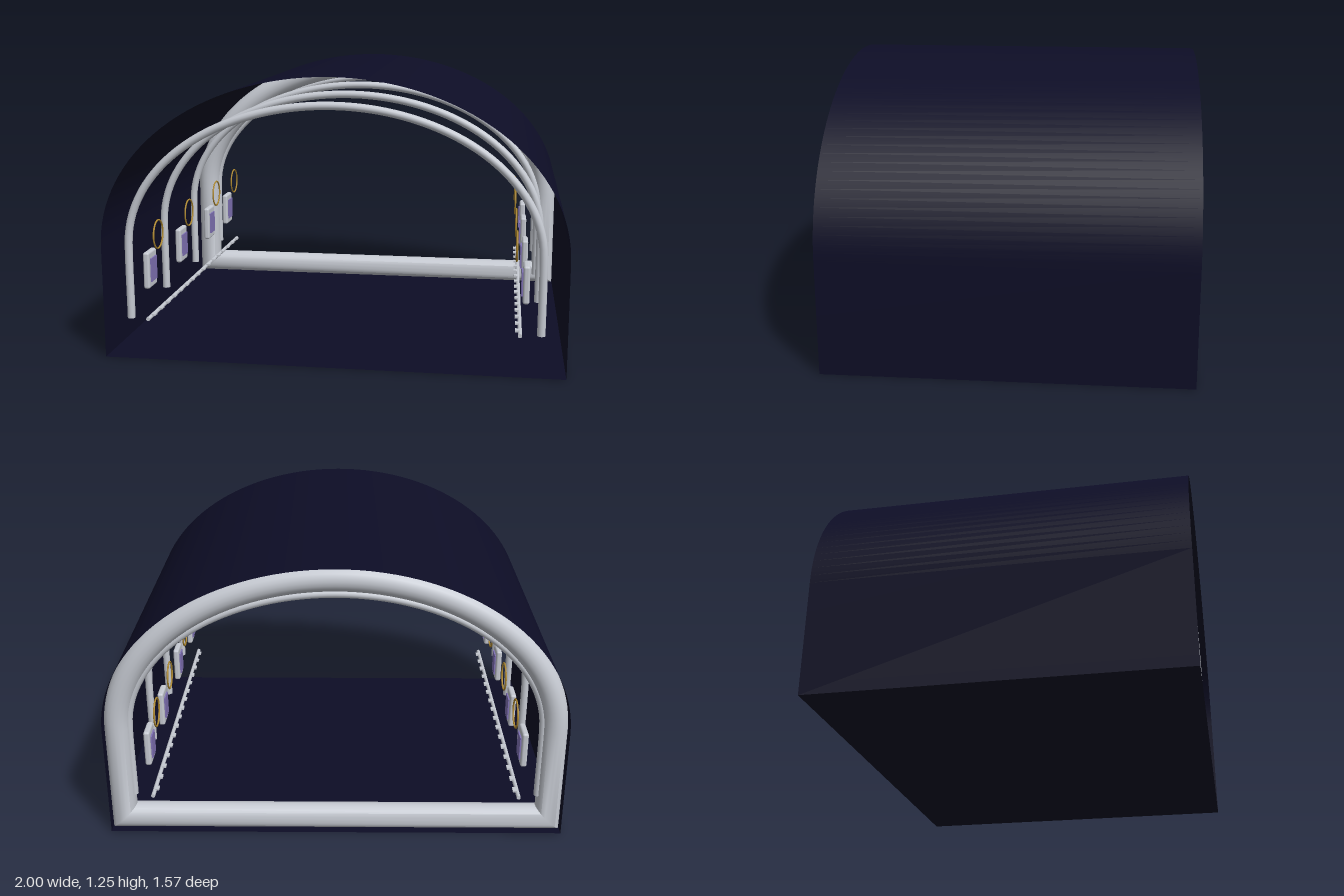
import * as THREE from 'three';
import { toCreasedNormals } from 'three/addons/utils/BufferGeometryUtils.js';
import { RoundedBoxGeometry } from 'three/addons/geometries/RoundedBoxGeometry.js';

const HALF_Z = 0.784, SPRING = 0.5;

const material = (name, color, side = THREE.FrontSide) => {
  const m = new THREE.MeshStandardMaterial({ color, side });
  m.name = name;
  return m;
};

// Points of a half-ellipse arch standing on straight legs, from +x foot to -x foot
function archPoints(a, b, footY, steps) {
  const pts = [[a, footY]];
  for (let i = 0; i <= steps; i++) {
    const t = (Math.PI * i) / steps;
    pts.push([a * Math.cos(t), SPRING + b * Math.sin(t)]);
  }
  pts.push([-a, footY]);
  return pts;
}

// Smooth surface through a grid of points
function gridGeometry(nu, nv, point) {
  const pos = [], index = [];
  for (let i = 0; i <= nu; i++)
    for (let j = 0; j <= nv; j++) pos.push(...point(i, j));
  for (let i = 0; i < nu; i++)
    for (let j = 0; j < nv; j++) {
      const a = i * (nv + 1) + j, b = a + nv + 1;
      index.push(a, b, a + 1, b, b + 1, a + 1);
    }
  const g = new THREE.BufferGeometry();
  g.setAttribute('position', new THREE.Float32BufferAttribute(pos, 3));
  g.setIndex(index);
  return toCreasedNormals(g, 0.7);
}

export function createModel() {
  const model = new THREE.Group();
  model.name = 'archedTunnel';
  const navy = material('navy shell', 0x0d0d26, THREE.DoubleSide);
  const silver = material('silver', 0xc6cad2);
  const gold = material('gold', 0xb08a30);
  const violet = material('violet screen', 0x8274b8);

  const add = (name, geometry, mat, parent = model, x = 0, y = 0, z = 0) => {
    const mesh = new THREE.Mesh(geometry, mat);
    mesh.name = name;
    mesh.position.set(x, y, z);
    parent.add(mesh);
    return mesh;
  };

  // Closed outline: arch, legs and floor
  const outline = archPoints(1, 0.745, 0, 64);
  const n = outline.length;
  const at = (i) => outline[i % n];

  // Thin shell with floor, open at both ends
  add('shell', gridGeometry(n, 1, (i, j) => [...at(i), j ? HALF_Z : -HALF_Z]), navy);

  // Round frame around the back opening, mitred at the floor corners
  const r = 0.056;
  const inward = (i) => {
    const k = i % n, [x, y] = at(k);
    if (k === 0) return [-1, 1];
    if (k === n - 1) return [1, 1];
    const nx = x, ny = (y - SPRING) / (0.745 * 0.745), l = Math.hypot(nx, ny);
    return [-nx / l, -ny / l];
  };
  add('backFrame', gridGeometry(n, 20, (i, j) => {
    const t = (2 * Math.PI * j) / 20, d = 0.001 + r * (1 - Math.cos(t));
    const [x, y] = at(i), [ix, iy] = inward(i);
    return [x + ix * d, y + iy * d, -HALF_Z + r + 0.001 + r * Math.sin(t)];
  }), silver);

  // Four arched ribs with closed feet
  const ribPath = new THREE.CatmullRomCurve3(
    archPoints(0.8925, 0.622, 0.17, 32).map(([x, y]) => new THREE.Vector3(x, y, 0)));
  const ribGeo = new THREE.TubeGeometry(ribPath, 90, 0.0175, 12);
  const footGeo = new THREE.CircleGeometry(0.0175, 12).rotateX(Math.PI / 2);
  for (const z of [0.735, 0.245, -0.245, -0.735]) {
    const rib = new THREE.Group();
    rib.name = 'archRib';
    rib.position.z = z;
    model.add(rib);
    add('ribTube', ribGeo, silver, rib);
    for (const s of [-1, 1]) add('ribFoot', footGeo, silver, rib, s * 0.8925, 0.17, 0);
  }

  // Wall fittings, mirrored on both sides
  const panelGeo = new RoundedBoxGeometry(0.028, 0.165, 0.108, 3, 0.01);
  const screenGeo = new THREE.BoxGeometry(0.009, 0.105, 0.072);
  const ringGeo = new THREE.TorusGeometry(0.063, 0.004, 8, 36).rotateY(Math.PI / 2);
  const railGeo = new THREE.CylinderGeometry(0.009, 0.009, 1.55, 10).rotateX(Math.PI / 2);
  const clipGeo = new THREE.BoxGeometry(0.018, 0.008, 0.03);
  for (const s of [-1, 1]) {
    const side = new THREE.Group();
    side.name = s > 0 ? 'leftFittings' : 'rightFittings';
    model.add(side);
    for (const z of [0.66, 0.2, -0.29, -0.66]) {
      add('panel', panelGeo, silver, side, s * 0.826, 0.378, z);
      add('screen', screenGeo, violet, side, s * 0.81, 0.378, z);
      add('ring', ringGeo, gold, side, s * 0.783, 0.535, z);
    }
    // Low rail with small clips
    add('rail', railGeo, silver, side, s * 0.804, 0.178, 0);
    for (let i = 0; i < 16; i++)
      add('railClip', clipGeo, silver, side, s * 0.793, 0.185, -0.72 + i * 0.096);
  }
  return model;
}
